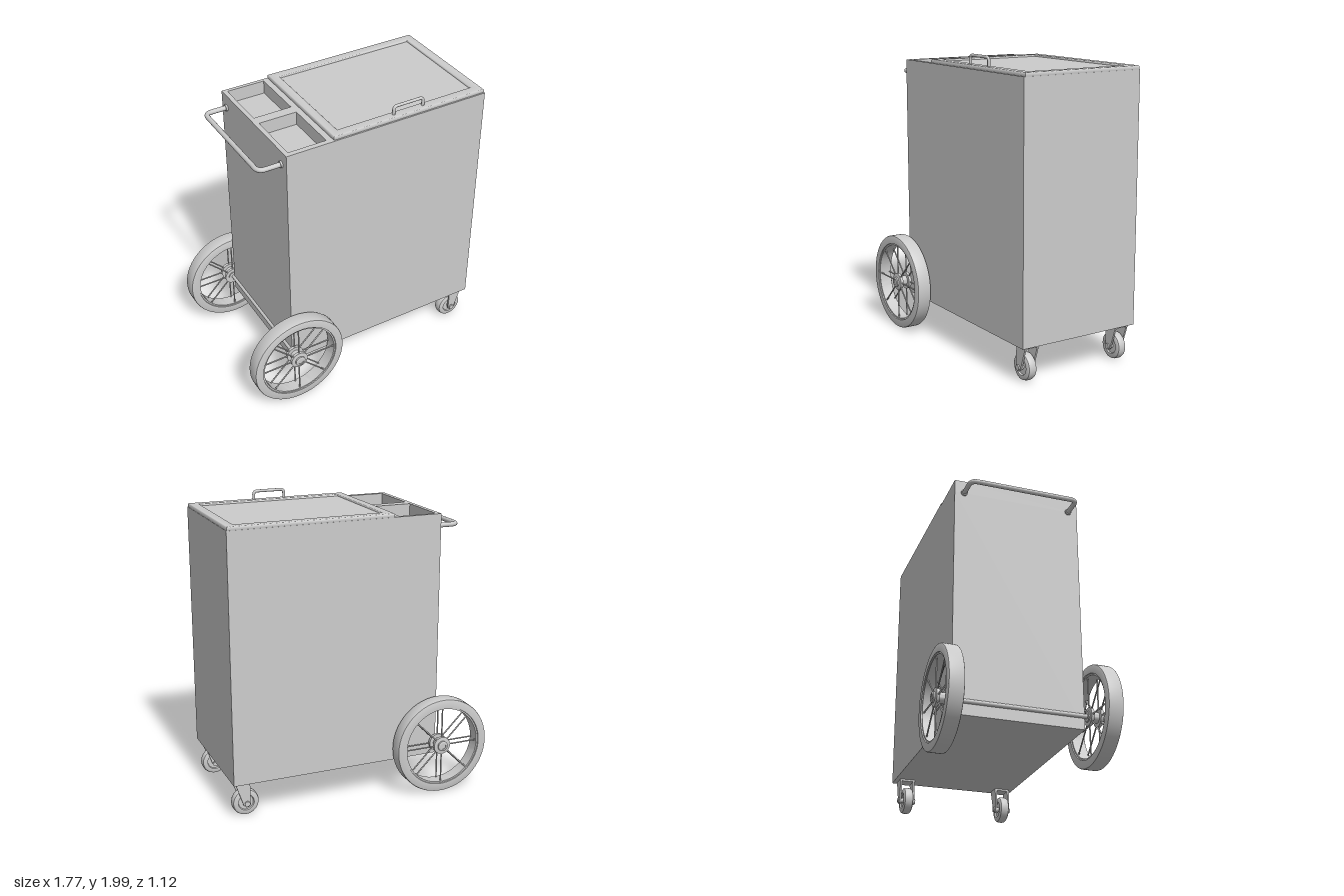
import * as THREE from 'three';
import { toCreasedNormals } from 'three/addons/utils/BufferGeometryUtils.js';

const material = new THREE.MeshStandardMaterial({ color: 0xcccccc });

function add(parent, name, geometry, x = 0, y = 0, z = 0) {
  const mesh = new THREE.Mesh(geometry, material);
  mesh.name = name;
  mesh.position.set(x, y, z);
  parent.add(mesh);
  return mesh;
}

// Box given by its limits
function boxBetween(parent, name, x0, x1, y0, y1, z0, z1) {
  return add(parent, name, new THREE.BoxGeometry(x1 - x0, y1 - y0, z1 - z0),
    (x0 + x1) / 2, (y0 + y1) / 2, (z0 + z1) / 2);
}

// Rectangle on the ground plan, drawn in x and -z
function trace(path, [x0, x1, z0, z1]) {
  path.moveTo(x0, -z1);
  path.lineTo(x1, -z1);
  path.lineTo(x1, -z0);
  path.lineTo(x0, -z0);
  path.closePath();
  return path;
}

// Horizontal slab with rectangular openings and an optional rounded edge
function slab(outline, holes, y0, y1, bevel = 0) {
  const [x0, x1, z0, z1] = outline;
  const shape = trace(new THREE.Shape(), [x0 + bevel, x1 - bevel, z0 + bevel, z1 - bevel]);
  holes.forEach(([a, b, c, d]) =>
    shape.holes.push(trace(new THREE.Path(), [a - bevel, b + bevel, c - bevel, d + bevel])));
  const geometry = new THREE.ExtrudeGeometry(shape, {
    depth: y1 - y0 - 2 * bevel, bevelEnabled: bevel > 0,
    bevelSize: bevel, bevelThickness: bevel, bevelSegments: 3,
  });
  geometry.rotateX(-Math.PI / 2).translate(0, y0 + bevel, 0);
  return toCreasedNormals(geometry, 0.6);
}

// Bar bent through the given points with rounded corners
function bentBar(points, radius, corner) {
  const v = points.map((p) => new THREE.Vector3(...p));
  const path = new THREE.CurvePath();
  let from = v[0];
  for (let i = 1; i < v.length - 1; i++) {
    const start = v[i].clone().add(v[i - 1].clone().sub(v[i]).setLength(corner));
    const end = v[i].clone().add(v[i + 1].clone().sub(v[i]).setLength(corner));
    path.add(new THREE.LineCurve3(from, start));
    path.add(new THREE.QuadraticBezierCurve3(start, v[i], end));
    from = end;
  }
  path.add(new THREE.LineCurve3(from, v[v.length - 1]));
  return new THREE.TubeGeometry(path, 96, radius, 12);
}

// Closed ring or disc turned about the z axis from [radius, z] points
function turned(points, segments = 64) {
  const geometry = new THREE.LatheGeometry(points.map(([r, z]) => new THREE.Vector2(r, z)), segments);
  return toCreasedNormals(geometry.rotateX(Math.PI / 2), 0.6);
}

function bigWheel() {
  const wheel = new THREE.Group();
  wheel.name = 'largeWheel';
  add(wheel, 'tyre', turned([
    [0.275, -0.05], [0.322, -0.05], [0.328, -0.047], [0.331, -0.04],
    [0.331, 0.04], [0.328, 0.047], [0.322, 0.05], [0.275, 0.05],
    [0.273, 0.043], [0.263, 0.043], [0.263, -0.043], [0.273, -0.043], [0.275, -0.05],
  ], 80));
  add(wheel, 'hub', turned([
    [0, -0.05], [0.035, -0.05], [0.035, -0.042], [0.06, -0.042], [0.06, -0.022],
    [0.035, -0.022], [0.035, 0.022], [0.06, 0.022], [0.06, 0.042],
    [0.035, 0.046], [0.035, 0.056], [0.029, 0.06], [0.02, 0.06], [0.02, 0.055], [0, 0.055],
  ], 32));
  // Two rows of eight spokes
  for (const z of [-0.032, 0.032]) {
    for (let i = 0; i < 8; i++) {
      const a = (i * Math.PI) / 4;
      const spoke = add(wheel, 'spoke', new THREE.CylinderGeometry(0.005, 0.005, 0.22, 8),
        -Math.sin(a) * 0.16, Math.cos(a) * 0.16, z);
      spoke.rotation.z = a;
    }
  }
  return wheel;
}

function caster() {
  const group = new THREE.Group();
  group.name = 'caster';
  add(group, 'casterWheel', turned([
    [0, -0.022], [0.05, -0.022], [0.054, -0.032], [0.075, -0.032], [0.085, -0.026], [0.09, -0.012],
    [0.09, 0.012], [0.085, 0.026], [0.075, 0.032], [0.054, 0.032], [0.05, 0.022], [0, 0.022],
  ], 40));
  add(group, 'casterAxle', new THREE.CylinderGeometry(0.018, 0.018, 0.122, 20)).rotation.x = Math.PI / 2;
  boxBetween(group, 'mountingPlate', -0.022, 0.077, 0.138, 0.152, -0.052, 0.052);
  // Tapered fork cheek with a rounded lower end
  const cheek = new THREE.Shape();
  cheek.moveTo(0.077, 0.15);
  cheek.lineTo(-0.022, 0.15);
  cheek.lineTo(-0.025, 0);
  cheek.absarc(0, 0, 0.025, Math.PI, Math.PI * 1.93, false);
  cheek.closePath();
  for (const z of [-0.052, 0.04]) {
    add(group, 'forkCheek', toCreasedNormals(
      new THREE.ExtrudeGeometry(cheek, { depth: 0.012, bevelEnabled: false }), 0.6), 0, 0, z);
  }
  return group;
}

export function createModel() {
  const cart = new THREE.Group();
  cart.name = 'cart';

  // Cabinet with two open trays at the handle end
  const plan = [-0.555, 0.885, -0.435, 0.435];
  const trays = [[-0.525, -0.265, -0.41, -0.04], [-0.525, -0.265, 0.03, 0.40]];
  add(cart, 'cabinetBody', slab(plan, [], 0.25, 1.82));
  add(cart, 'trayTop', slab(plan, trays, 1.82, 1.91));

  // Lid: raised frame around a sunken panel, with a small handle
  add(cart, 'lidFrame', slab([-0.225, 0.883, -0.433, 0.425], [[-0.165, 0.82, -0.37, 0.36]], 1.9, 1.935, 0.01));
  boxBetween(cart, 'lidPanel', -0.18, 0.83, 1.9, 1.922, -0.38, 0.37);
  add(cart, 'lidHandle', bentBar([
    [0.22, 1.925, 0.39], [0.22, 1.99, 0.39], [0.435, 1.99, 0.39], [0.435, 1.925, 0.39],
  ], 0.01, 0.025));

  // Push handle
  add(cart, 'pushHandle', bentBar([
    [-0.55, 1.82, -0.37], [-0.71, 1.82, -0.37], [-0.71, 1.82, 0.37], [-0.55, 1.82, 0.37],
  ], 0.016, 0.05));
  for (const z of [-0.37, 0.37]) {
    add(cart, 'handleFlange', new THREE.CylinderGeometry(0.022, 0.022, 0.014, 20), -0.56, 1.82, z)
      .rotation.z = Math.PI / 2;
  }

  // Axle and running gear
  add(cart, 'axle', new THREE.CylinderGeometry(0.015, 0.015, 0.96, 20), -0.555, 0.34, 0).rotation.x = Math.PI / 2;
  for (const side of [-1, 1]) {
    const wheel = bigWheel();
    wheel.position.set(-0.555, 0.34, side * 0.5);
    if (side < 0) wheel.rotation.y = Math.PI;
    cart.add(wheel);
    const small = caster();
    small.position.set(0.79, 0.1, side * 0.353);
    cart.add(small);
  }
  return cart;
}
